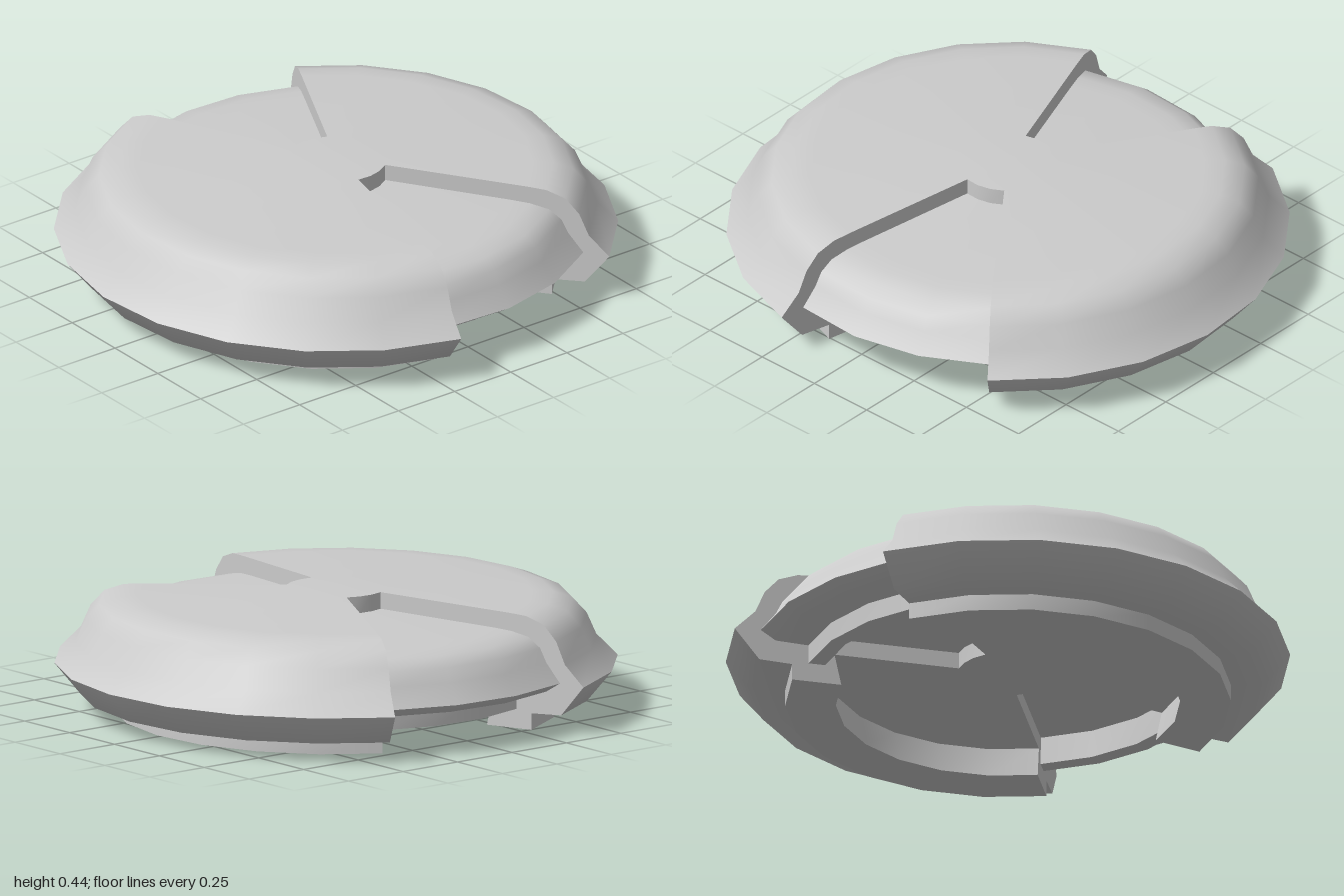
import * as THREE from 'three';
import { toCreasedNormals } from 'three/addons/utils/BufferGeometryUtils.js';

// Matching cross-sections [radius, height], from the top centre round to the bottom centre
const FULL = [
  [0, 0.44], [0.18, 0.435], [0.18, 0.435], [0.7, 0.415], [0.77, 0.41], [0.84, 0.385],
  [0.89, 0.33], [0.925, 0.25], [1.0, 0.175], [0.91, 0.065], [0.79, 0.06], [0.79, 0],
  [0.61, 0], [0.635, 0.115], [0.18, 0.115], [0.18, 0.115], [0, 0.115],
];
const RECESSED = [
  [0, 0.44], [0.18, 0.435], [0.18, 0.375], [0.64, 0.355], [0.71, 0.35], [0.78, 0.335],
  [0.825, 0.3], [0.85, 0.25], [0.905, 0.18], [0.85, 0.145], [0.73, 0.14], [0.73, 0.07],
  [0.67, 0.07], [0.675, 0.175], [0.18, 0.175], [0.18, 0.115], [0, 0.115],
];

const SIDES = 22;
const STEP = (Math.PI * 2) / SIDES;
const START = THREE.MathUtils.degToRad(-68.3);

// Sectors in order: front, left notch, back, right notch (counted in sides)
const SECTORS = [[9, FULL], [3, RECESSED], [7, FULL], [3, RECESSED]];

// Joins neighbouring sections; the doubled section at each sector edge makes the step wall
function loftSections(sections) {
  const positions = [];
  const addTriangle = (a, b, c) => {
    const normal = b.clone().sub(a).cross(c.clone().sub(a));
    if (normal.length() < 1e-7) return;
    for (const p of [a, b, c]) positions.push(p.x, p.y, p.z);
  };
  sections.forEach((section, i) => {
    const next = sections[(i + 1) % sections.length];
    for (let j = 0; j < section.length - 1; j++) {
      addTriangle(section[j], section[j + 1], next[j]);
      addTriangle(section[j + 1], next[j + 1], next[j]);
    }
  });
  const geometry = new THREE.BufferGeometry();
  geometry.setAttribute('position', new THREE.Float32BufferAttribute(positions, 3));
  return toCreasedNormals(geometry, 0.9);
}

export function createModel() {
  const sections = [];
  let side = 0;
  for (const [count, profile] of SECTORS) {
    for (let k = 0; k <= count; k++) {
      const angle = START + ((side + k) % SIDES) * STEP;
      sections.push(profile.map(([r, y]) =>
        new THREE.Vector3(r * Math.sin(angle), y, r * Math.cos(angle))));
    }
    side += count;
  }

  const material = new THREE.MeshStandardMaterial({ color: 0xcccccc, side: THREE.DoubleSide });
  const lid = new THREE.Mesh(loftSections(sections), material);
  lid.name = 'notchedLid';
  lid.position.x = -0.02;

  const group = new THREE.Group();
  group.name = 'lid';
  group.add(lid);
  return group;
}
